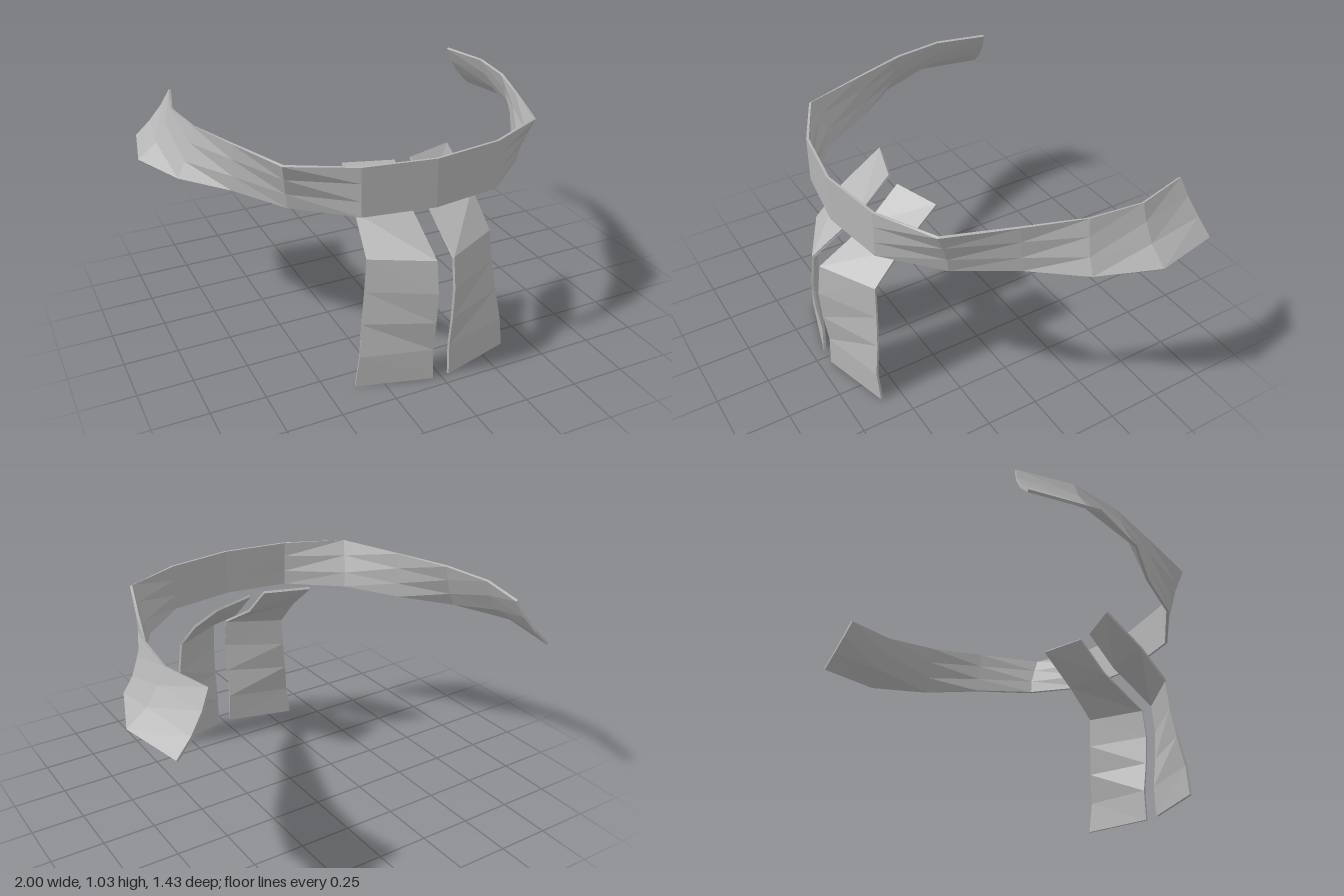
import * as THREE from 'three';

const THICKNESS = 0.012;

// Thin cloth slab from a grid of surface points: grid[i] runs outward, grid[i][j] runs upward.
// side = 1 builds the left (+x) copy, side = -1 the mirrored one.
function slab(grid, side) {
  const ni = grid.length, nj = grid[0].length;
  const front = grid.map(col => col.map(p => new THREE.Vector3(...p)));
  const back = front.map((col, i) => col.map((p, j) => {
    const du = front[Math.min(i + 1, ni - 1)][j].clone().sub(front[Math.max(i - 1, 0)][j]);
    const dv = front[i][Math.min(j + 1, nj - 1)].clone().sub(front[i][Math.max(j - 1, 0)]);
    const n = du.cross(dv);
    if (p.x === 0) n.x = 0; // keep the halves meeting at the centre line
    return p.clone().addScaledVector(n.normalize(), -THICKNESS);
  }));

  const pos = [];
  const tri = (a, b, c) => {
    for (const p of side > 0 ? [a, b, c] : [a, c, b]) pos.push(p.x * side, p.y, p.z);
  };
  const quad = (a, b, c, d) => { tri(a, b, c); tri(a, c, d); };

  // Front and back faces
  for (let i = 0; i < ni - 1; i++) {
    for (let j = 0; j < nj - 1; j++) {
      quad(front[i][j], front[i + 1][j], front[i + 1][j + 1], front[i][j + 1]);
      tri(back[i][j], back[i + 1][j + 1], back[i + 1][j]);
      tri(back[i][j], back[i][j + 1], back[i + 1][j + 1]);
    }
  }
  // Lower and upper rims
  const t = nj - 1, e = ni - 1;
  for (let i = 0; i < e; i++) {
    quad(front[i][0], back[i][0], back[i + 1][0], front[i + 1][0]);
    quad(front[i][t], front[i + 1][t], back[i + 1][t], back[i][t]);
  }
  // End rims, left open where the two halves join
  for (let j = 0; j < t; j++) {
    if (grid[0][0][0] !== 0) quad(front[0][j], front[0][j + 1], back[0][j + 1], back[0][j]);
    quad(front[e][j], back[e][j], back[e][j + 1], front[e][j + 1]);
  }

  const geo = new THREE.BufferGeometry();
  geo.setAttribute('position', new THREE.Float32BufferAttribute(pos, 3));
  geo.computeVertexNormals();
  return geo;
}

export function createModel() {
  const group = new THREE.Group();
  const cloth = new THREE.MeshStandardMaterial({ color: 0xb4b4b4 });
  cloth.name = 'grey cloth';
  cloth.flatShading = true;

  // Collar band: x, z of four points per section, bottom to top
  const sections = [
    [[0, 0.61], [0, 0.61], [0, 0.61], [0, 0.61]],
    [[0.32, 0.56], [0.32, 0.56], [0.32, 0.56], [0.32, 0.56]],
    [[0.56, 0.35], [0.57, 0.36], [0.585, 0.39], [0.6, 0.42]],
    [[0.715, 0.09], [0.71, 0.1], [0.71, 0.1], [0.71, 0.11]],
    [[0.89, -0.13], [0.85, -0.14], [0.82, -0.15], [0.8, -0.16]],
    [[1.0, -0.41], [0.91, -0.41], [0.86, -0.41], [0.83, -0.41]],
    [[0.94, -0.715], [0.87, -0.7], [0.81, -0.68], [0.77, -0.66]],
  ];
  const heights = [0.8, 0.87, 0.95, 1.02];
  const band = sections.map((s, i) =>
    s.map(([x, z], j) => [x, heights[j] + (j === 3 ? i * 0.0012 : 0), z]));

  // Hanging tail: z of the inner and outer edge at each 0.15 step up
  const innerZ = [0.695, 0.69, 0.71, 0.72, 0.7, 0.45, 0.3];
  const outerZ = [0.6, 0.605, 0.582, 0.568, 0.56, 0.42, 0.23];
  const outerX = [0.375, 0.355, 0.335, 0.315, 0.3, 0.285, 0.26];
  const tail = [
    innerZ.map((z, j) => [0.04, j * 0.15, z]),
    outerZ.map((z, j) => [outerX[j], j * 0.15, z]),
  ];

  for (const side of [1, -1]) {
    const label = side > 0 ? 'left' : 'right';
    for (const [name, grid] of [['CollarBand', band], ['HangingTail', tail]]) {
      const mesh = new THREE.Mesh(slab(grid, side), cloth);
      mesh.name = label + name;
      group.add(mesh);
    }
  }
  return group;
}
